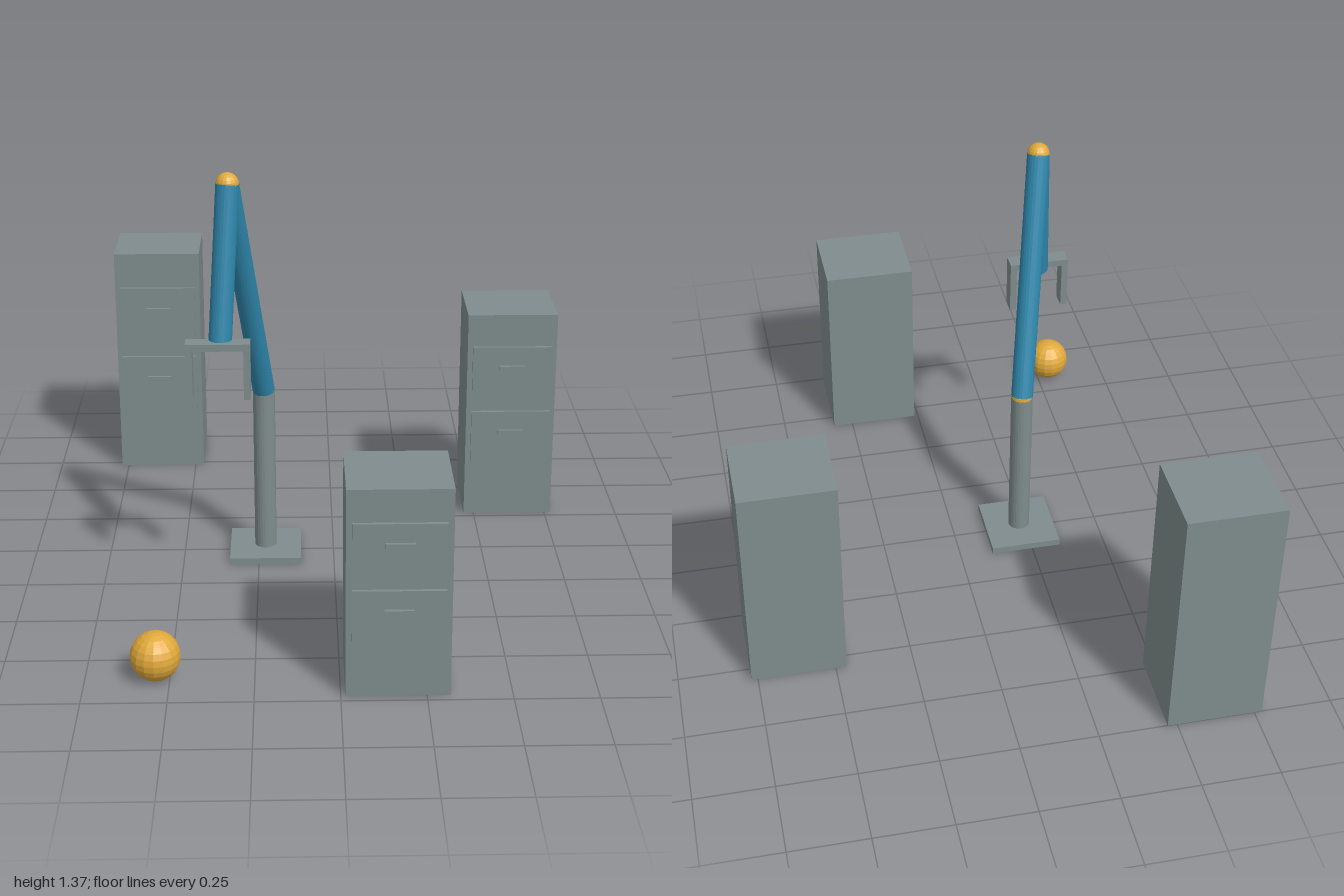
import * as THREE from 'three';

const mat = (name, color) => {
  const m = new THREE.MeshStandardMaterial({ color, flatShading: true });
  m.name = name;
  return m;
};

export function createModel() {
  const grey = mat('grey steel', 0x7f8c8d);
  const blue = mat('arm blue', 0x2e86ab);
  const amber = mat('amber', 0xe0a93b);

  const model = new THREE.Group();
  model.name = 'workshop';

  const add = (parent, name, geometry, material, x, y, z) => {
    const mesh = new THREE.Mesh(geometry, material);
    mesh.name = name;
    mesh.position.set(x, y, z);
    parent.add(mesh);
    return mesh;
  };
  const box = (parent, name, w, h, d, x, y, z) =>
    add(parent, name, new THREE.BoxGeometry(w, h, d), grey, x, y, z);

  // Cylinder running between two points
  const rod = (parent, name, a, b, r, material) => {
    const dir = b.clone().sub(a);
    const mid = a.clone().add(b).multiplyScalar(0.5);
    const mesh = add(parent, name, new THREE.CylinderGeometry(r, r, dir.length(), 24), material, mid.x, mid.y, mid.z);
    mesh.quaternion.setFromUnitVectors(new THREE.Vector3(0, 1, 0), dir.normalize());
  };

  // Filing cabinets: drawers and handles scale with the height
  const depth = 0.275;
  const cabinets = [
    [-0.622, -0.863, 0.824],
    [0.618, -0.412, 0.736],
    [0.166, 0.835, 0.651],
  ];
  for (const [x, z, h] of cabinets) {
    const cabinet = new THREE.Group();
    cabinet.name = 'cabinet';
    cabinet.position.set(x, 0, z);
    model.add(cabinet);
    box(cabinet, 'cabinetBody', 0.305, h, depth, 0, h / 2, 0);
    for (const level of [0.405, 0.725]) {
      box(cabinet, 'drawerFront', 0.27, h * 0.248, 0.011, 0, h * level, depth / 2 + 0.0105);
      box(cabinet, 'drawerHandle', 0.086, 0.014, 0.012, 0, h * (level + 0.025), depth / 2 + 0.021);
    }
  }

  // Jointed arm on a square foot
  const arm = new THREE.Group();
  arm.name = 'arm';
  model.add(arm);
  const foot = new THREE.Vector3(-0.228, 0.023, 0);
  const shoulder = new THREE.Vector3(-0.228, 0.574, 0);
  const elbow = new THREE.Vector3(-0.325, 1.338, 0.257);
  const wrist = new THREE.Vector3(-0.354, 0.848, 0.339);
  box(arm, 'footPlate', 0.236, 0.023, 0.236, foot.x, 0.0115, foot.z);
  rod(arm, 'column', foot, shoulder, 0.036, grey);
  rod(arm, 'upperArm', shoulder, elbow, 0.036, blue);
  rod(arm, 'forearm', elbow, wrist, 0.036, blue);
  for (const [name, p] of [['shoulderJoint', shoulder], ['elbowJoint', elbow]]) {
    add(arm, name, new THREE.SphereGeometry(0.0362, 16, 12), amber, p.x, p.y, p.z);
  }

  // Two-finger gripper
  const gripper = new THREE.Group();
  gripper.name = 'gripper';
  gripper.position.set(-0.36, 0, 0.36);
  arm.add(gripper);
  box(gripper, 'gripperBar', 0.198, 0.022, 0.055, 0, 0.861, 0);
  for (const side of [-1, 1]) {
    box(gripper, 'gripperFinger', 0.021, 0.158, 0.055, side * 0.0885, 0.771, 0);
  }

  // Ball on the floor
  add(model, 'ball', new THREE.SphereGeometry(0.075, 16, 12), amber, -0.541, 0.075, 0.858);

  return model;
}
